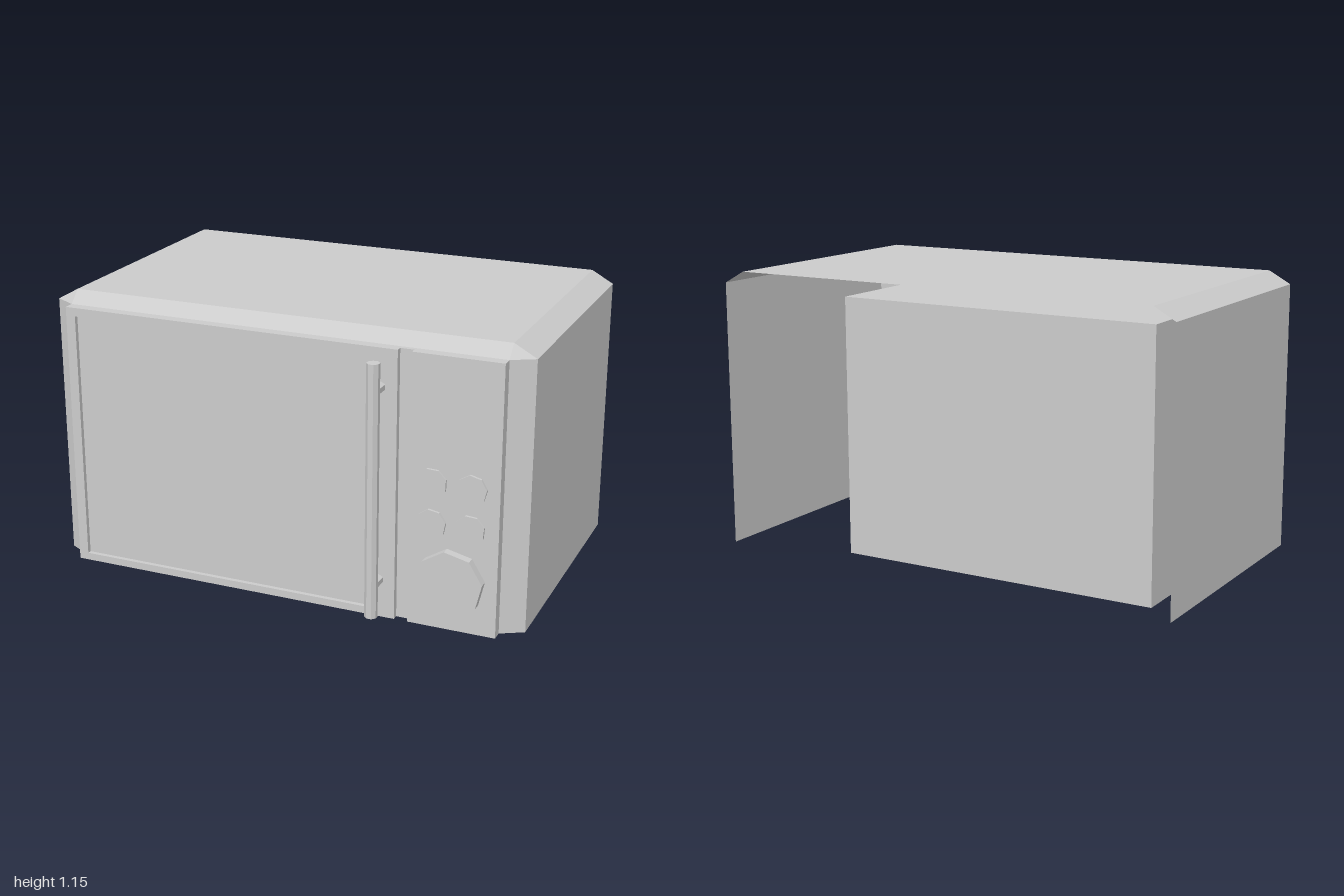
import * as THREE from 'three';

const material = new THREE.MeshStandardMaterial({ color: 0xcccccc, flatShading: true, side: THREE.DoubleSide });

// Skin a sheet between equal-length polylines of [x, y, z] points
function loft(sections) {
  const n = sections[0].length;
  const index = [];
  for (let s = 0; s < sections.length - 1; s++) {
    for (let i = 0; i < n - 1; i++) {
      const a = s * n + i, b = a + 1, c = a + n, d = c + 1;
      index.push(a, c, d, a, d, b);
    }
  }
  const indexed = new THREE.BufferGeometry();
  indexed.setAttribute('position', new THREE.Float32BufferAttribute(sections.flat(2), 3));
  indexed.setIndex(index);
  const geometry = indexed.toNonIndexed();
  geometry.computeVertexNormals();
  return geometry;
}

const rectangle = (x0, x1, y0, y1) => [[x0, y0], [x0, y1], [x1, y1], [x1, y0]];
const toPath = (points, Type) => new Type(points.map(([x, y]) => new THREE.Vector2(x, y)));

export function createModel() {
  const group = new THREE.Group();
  const add = (name, geometry, x = 0, y = 0, z = 0) => {
    const mesh = new THREE.Mesh(geometry, material);
    mesh.name = name;
    mesh.position.set(x, y, z);
    group.add(mesh);
    return mesh;
  };

  const bottom = 0.01, top = 1.105, roof = 1.155;
  const zBack = -0.648, zRim = 0.5, zFace = 0.545, zGroove = 0.52;
  const half = 0.91, grooveL = 0.5, grooveR = 0.555;

  // Outer shell: open at the back and underneath, bevelled towards the front
  const outline = [[-1, bottom], [-1, top], [-half, roof], [half, roof], [1, top], [1, bottom]];
  const rim = outline.map(([x, y]) => [Math.sign(x) * half, Math.min(y, top)]);
  add('shell', loft([
    outline.map(p => [...p, zBack]),
    outline.map(p => [...p, 0.45]),
    rim.map(p => [...p, zRim]),
  ]));

  // Cooking cavity, seen through the open back
  add('cavity', new THREE.BoxGeometry(1.36, 1.06, 1.053), -0.19, 0.54, -0.0065);

  // Front fascia: door frame with a shallow window recess
  const windowRect = rectangle(-0.87, 0.39, 0.04, 1.07);
  const frame = toPath(rectangle(-half, grooveL, bottom, top), THREE.Shape);
  frame.holes.push(toPath(windowRect, THREE.Path));
  add('doorFrame', new THREE.ShapeGeometry(frame), 0, 0, zFace);
  const loop = [...windowRect, windowRect[0]];
  add('windowRecess', loft([loop.map(p => [...p, zFace]), loop.map(p => [...p, 0.527])]));
  add('windowPane', new THREE.PlaneGeometry(1.26, 1.03), -0.24, 0.555, 0.527);

  // Fascia edges, groove and control panel, as vertical sheets
  const upright = path => loft([top, bottom].map(y => path.map(([x, z]) => [x, y, z])));
  add('doorEdge', upright([[-half, zRim], [-half, zFace]]));
  const panelPath = [[grooveL, zFace], [grooveL, zGroove], [grooveR, zGroove],
    [grooveR, zFace], [half, zFace], [half, zRim]];
  add('controlPanel', upright(panelPath));
  const frontEdge = [[-half, zFace], ...panelPath.slice(0, 5)];
  add('fasciaTop', loft([
    frontEdge.map(([x]) => [x, top, zRim]),
    frontEdge.map(([x, z]) => [x, top, z]),
  ]));

  // Door handle on two stand-offs
  const bar = new THREE.CylinderGeometry(0.026, 0.026, 1.025, 8);
  bar.rotateY(Math.PI / 8);
  add('handleBar', bar, 0.435, 0.5575, 0.623);
  for (const y of [0.17, 0.955]) {
    const post = new THREE.CylinderGeometry(0.02, 0.02, 0.065, 6);
    post.rotateX(Math.PI / 2);
    add('handlePost', post, 0.435, y, 0.5775);
  }

  // Eight-sided buttons and dial: name, x, y, radius, depth, turn in degrees
  const controls = [
    ['button', 0.645, 0.605, 0.06, 0.011, 20],
    ['button', 0.802, 0.602, 0.06, 0.011, 8],
    ['button', 0.645, 0.44, 0.06, 0.011, 12],
    ['button', 0.798, 0.44, 0.06, 0.011, 18],
    ['dial', 0.73, 0.215, 0.134, 0.036, 9],
  ];
  for (const [name, x, y, radius, depth, turn] of controls) {
    const knob = new THREE.CylinderGeometry(radius, radius, depth, 8);
    knob.rotateX(Math.PI / 2).rotateZ(THREE.MathUtils.degToRad(turn));
    add(name, knob, x, y, zFace + depth / 2);
  }

  // Eight-sided ring under the cavity
  const ring = new THREE.CylinderGeometry(0.427, 0.427, 0.011, 8, 1, true);
  ring.rotateY(THREE.MathUtils.degToRad(10));
  add('baseRing', ring, -0.19, 0.0055, -0.005);

  return group;
}
